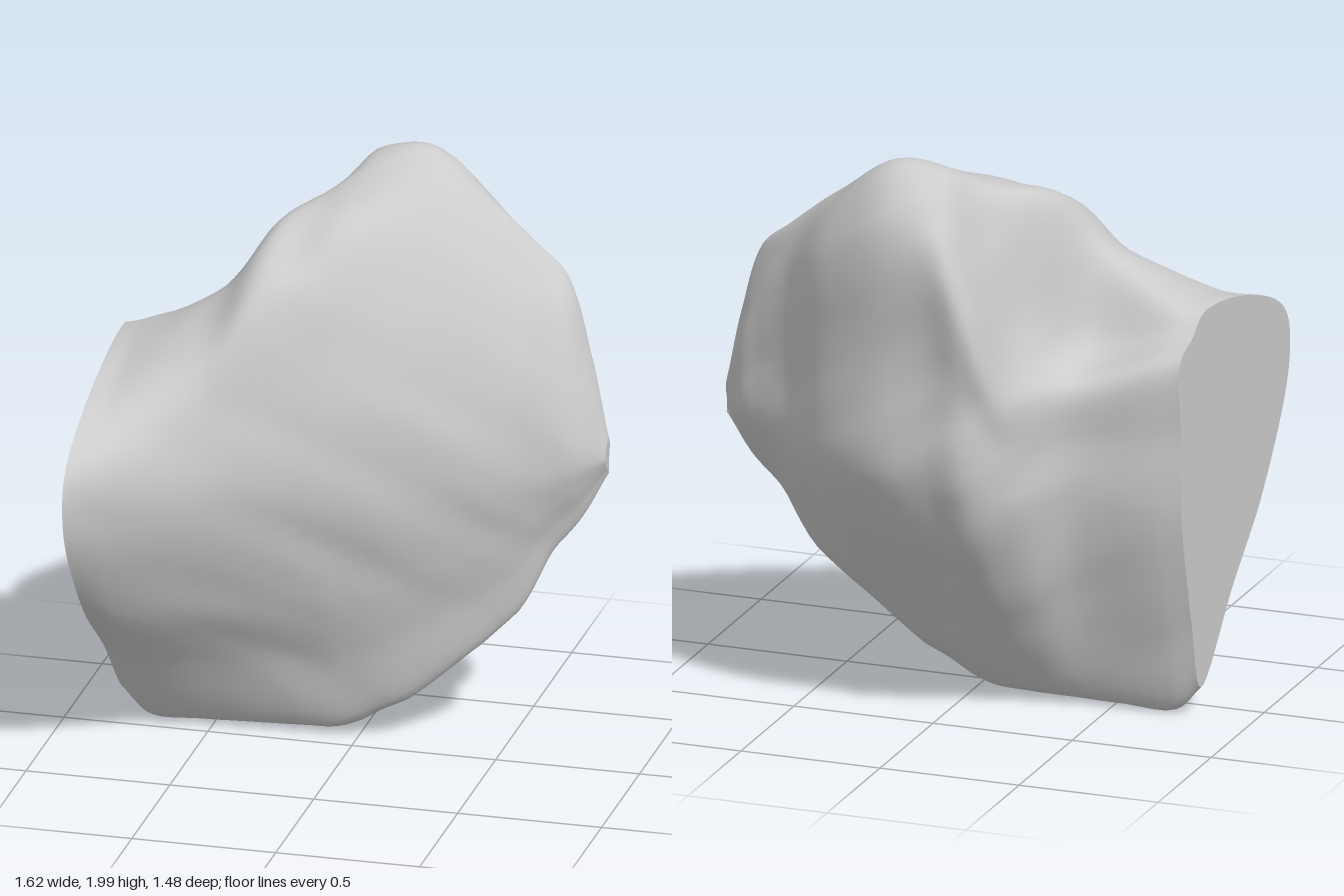
import * as THREE from 'three';

const { lerp, smoothstep } = THREE.MathUtils;
const ROWS = 66, AROUND = 96;

// Stations from the flat side to the tip: x, keel y, spine z, spine y, back rim z, back rim y
const stations = [
  [-0.81, 0.1, -0.08, 1.42, -0.29, 1.31],
  [-0.72, 0.01, -0.08, 1.45, -0.32, 1.28],
  [-0.45, 0.01, -0.06, 1.6, -0.41, 1.21],
  [-0.3, 0.015, -0.2, 1.8, -0.61, 1.24],
  [-0.18, 0.02, -0.32, 1.86, -0.71, 1.6],
  [-0.05, 0.03, -0.36, 1.93, -0.71, 1.8],
  [0.13, 0.12, -0.4, 1.95, -0.71, 1.8],
  [0.35, 0.3, -0.45, 1.84, -0.64, 1.65],
  [0.53, 0.47, -0.45, 1.7, -0.5, 1.5],
  [0.64, 0.68, -0.43, 1.61, -0.45, 1.4],
  [0.73, 0.8, -0.38, 1.36, -0.41, 1.24],
  [0.81, 0.95, -0.31, 1.08, -0.33, 1.05],
];

// Cross-section loop: keel, up the front face, over the spine and bowl, down the back
function section([x, keelY, spineZ, spineY, rimZ, rimY]) {
  const at = (z, y) => new THREE.Vector3(x, y, z);
  const between = (a, b, fz, fy) => at(lerp(a.z, b.z, fz), lerp(a.y, b.y, fy));
  const right = Math.max(0, x), left = Math.min(0, x);
  const keel = at(-0.1 - 0.33 * right * right, keelY);
  const belly = at(
    0.14 - 0.42 * x + 0.38 * left * left - 0.07 * smoothstep(x, 0.7, 0.82),
    0.97 + 0.05 * right);
  const spine = at(spineZ, spineY);
  const rim = at(rimZ, rimY);
  const shoulder = at(
    lerp(belly.z, spineZ, lerp(0.33, 0.62, smoothstep(x, -0.2, 0.15))),
    spineY - 0.08 * (spineY - keelY));
  // Hollow on the left of the top, raised block on the right
  const bowl = between(spine, rim, 0.45, 0.5);
  const hollow = -0.09 * smoothstep(x, -0.75, -0.48);
  bowl.y += lerp(hollow, 0.115, smoothstep(x, -0.32, 0.02)) * Math.min(1, (spineZ - rimZ) / 0.3);
  const back = at(rimZ * 0.97, 0.88 + 0.15 * x);
  // The front corner of the flat side is blunter than the rest of the front
  const blunt = smoothstep(-x, 0.4, 0.8);
  return [
    keel, between(keel, belly, 0.37, 0.31), between(keel, belly, 0.71, 0.59),
    belly, between(belly, shoulder, lerp(0.2, 0.04, blunt), lerp(0.45, 0.56, blunt)), shoulder,
    spine, bowl, rim, between(rim, back, 0.4, 0.5), back, between(keel, back, 0.47, 0.38),
  ];
}

const centreOf = (ring) =>
  ring.reduce((c, p) => c.add(p), new THREE.Vector3()).divideScalar(ring.length);

// Shallow chipped dents, always inward
function dent(p) {
  const a = Math.sin(p.x * 9 + p.y * 5 + 1) * Math.sin(p.y * 8 - p.z * 6);
  const b = Math.sin(p.z * 15 + p.x * 7) * Math.sin(p.y * 17 + p.x * 11 + 2);
  return 0.008 * Math.max(0, a) + 0.009 * Math.max(0, b);
}

// Smooth rings, interpolated along the rails and then around each loop
function buildRings() {
  const sections = stations.map(section);
  const rails = sections[0].map((_, k) =>
    new THREE.CatmullRomCurve3(sections.map((s) => s[k]), false, 'centripetal'));
  const rings = [];
  for (let i = 0; i <= ROWS; i++) {
    const t = i / ROWS;
    const loop = new THREE.CatmullRomCurve3(rails.map((r) => r.getPoint(t)), true, 'centripetal');
    const ring = [];
    for (let j = 0; j < AROUND; j++) ring.push(loop.getPoint(j / AROUND));
    const centre = centreOf(ring);
    const fade = Math.sqrt(Math.max(0, Math.sin(Math.PI * t)));
    for (const p of ring) {
      const inward = centre.clone().sub(p).normalize();
      p.addScaledVector(inward, dent(p) * fade);
    }
    rings.push(ring);
  }
  return rings;
}

function toGeometry(points, index) {
  const geo = new THREE.BufferGeometry().setFromPoints(points);
  geo.setIndex(index);
  geo.computeVertexNormals();
  return geo;
}

// Flat end face as a fan around the ring's middle
function capGeometry(ring, flip) {
  const index = [];
  for (let j = 0; j < ring.length; j++) {
    const n = (j + 1) % ring.length;
    if (flip) index.push(ring.length, n, j);
    else index.push(ring.length, j, n);
  }
  return toGeometry([...ring, centreOf(ring)], index);
}

export function createModel() {
  const group = new THREE.Group();
  group.name = 'rock';
  const material = new THREE.MeshStandardMaterial({ color: 0xcccccc });
  const add = (name, geo) => {
    const mesh = new THREE.Mesh(geo, material);
    mesh.name = name;
    group.add(mesh);
  };

  // Weathered outer skin
  const rings = buildRings();
  const index = [];
  for (let i = 0; i < ROWS; i++) {
    for (let j = 0; j < AROUND; j++) {
      const n = (j + 1) % AROUND;
      const a = i * AROUND + j, b = a + AROUND;
      const c = (i + 1) * AROUND + n, d = i * AROUND + n;
      index.push(a, b, c, a, c, d);
    }
  }
  add('rockBody', toGeometry(rings.flat(), index));

  // Sheared flat side and the small end of the tip
  add('flatSide', capGeometry(rings[0], false));
  add('tipEnd', capGeometry(rings[ROWS], true));
  return group;
}
